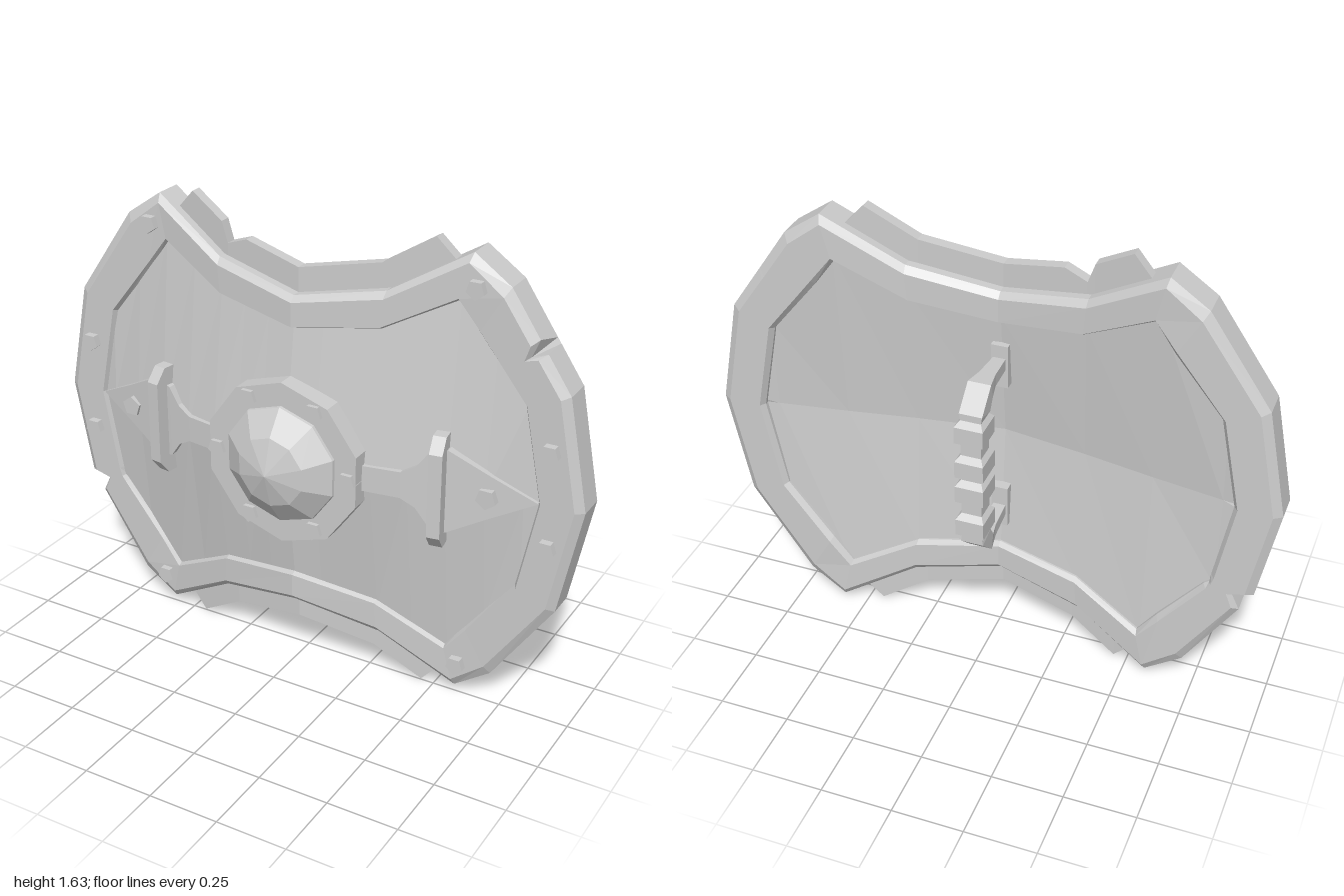
import * as THREE from 'three';

const CY = 0.82; // height of the shield's centre
const material = new THREE.MeshStandardMaterial({ color: 0xcccccc, flatShading: true });
const sheetMaterial = new THREE.MeshStandardMaterial({ color: 0xcccccc, flatShading: true, side: THREE.DoubleSide });

// Linear interpolation in a table of [|x|, value] pairs
function interp(table, x) {
  const a = Math.abs(x);
  for (let i = 1; i < table.length; i++) {
    const [x0, v0] = table[i - 1], [x1, v1] = table[i];
    if (a <= x1) return v0 + (v1 - v0) * (a - x0) / (x1 - x0);
  }
  return table[table.length - 1][1];
}
const bend = x => interp([[0, 0.1], [0.3, 0.056], [0.58, 0], [1, 0]], x);                // rim curve
const frontRidge = x => interp([[0, 0.16], [0.29, 0.134], [0.55, 0.078], [0.86, 0]], x); // panel at mid height
const backRidge = x => interp([[0, 0.05], [0.3, 0.005], [0.545, -0.04], [0.855, -0.09]], x);
const innerHalf = x => interp([[0, 0.455], [0.3, 0.51], [0.545, 0.64], [0.79, 0.33], [0.855, 0]], x);

function addMesh(parent, name, geometry, mat = material) {
  const g = geometry.index ? geometry.toNonIndexed() : geometry;
  g.computeVertexNormals();
  const mesh = new THREE.Mesh(g, mat);
  mesh.name = name;
  parent.add(mesh);
}

// Surface through rows of points, optionally closed along either direction
function loft(rows, closeRows, closeCols) {
  const n = rows.length, m = rows[0].length, index = [];
  for (let i = 0; i < (closeRows ? n : n - 1); i++) {
    for (let j = 0; j < (closeCols ? m : m - 1); j++) {
      const i1 = (i + 1) % n, j1 = (j + 1) % m;
      const a = i * m + j, b = i1 * m + j, c = i1 * m + j1, d = i * m + j1;
      index.push(a, b, c, a, c, d);
    }
  }
  const g = new THREE.BufferGeometry();
  g.setAttribute('position', new THREE.Float32BufferAttribute(rows.flat(2), 3));
  g.setIndex(index);
  return g;
}

// Bent band between an outer and an inner outline; section = [t across, z]
function band(outline, section, closed) {
  const rows = outline.map(([ox, oy, ix, iy, dent]) => section.map(([t, z], k) => {
    const [px, py] = dent && (k === 1 || k === 2) ? dent : [ox, oy];
    const x = px + (ix - px) * t, y = py + (iy - py) * t;
    return [x, y, z + bend(x)];
  }));
  return loft(rows, closed, true);
}

// Outline quarter from right middle to top middle: outer x, y, inner x, y
const quarter = [
  [1, 0.82, 0.855, 0.82], [0.925, 1.205, 0.79, 1.15], [0.71, 1.52, 0.62, 1.365],
  [0.58, 1.61, 0.545, 1.46], [0.31, 1.45, 0.3, 1.33], [0, 1.39, 0, 1.285],
];
const flipX = ([a, b, c, d]) => [-a, b, -c, d];
const flipY = ([a, b, c, d]) => [a, 2 * CY - b, c, 2 * CY - d];

function rimOutline() {
  const q2 = quarter.slice(0, -1).reverse().map(flipX);
  const q3 = quarter.slice(1).map(p => flipY(flipX(p)));
  const q4 = quarter.slice(1, -1).reverse().map(flipY);
  const q1 = quarter.slice();
  // shallow battle notch, cut in the front edge only
  q1.splice(2, 0, [0.841, 1.328, 0.718, 1.241], [0.828, 1.347, 0.706, 1.256, [0.787, 1.308]], [0.812, 1.37, 0.694, 1.271]);
  // deep notch through the whole edge
  q3.splice(0, 1, [-0.935, 0.475, -0.8, 0.52], [-0.86, 0.463, -0.79, 0.49], [-0.89, 0.4, -0.775, 0.47]);
  return [...q1, ...q2, ...q3, ...q4];
}

// Trim plate behind the rim: outer points from right to left
function trim(points, turn) {
  const outline = points.map(([x, y]) => {
    const iy = CY + innerHalf(x) + 0.05;
    return turn ? [-x, 2 * CY - y, -x, 2 * CY - iy] : [x, y, x, iy];
  });
  return band(outline, [[0, -0.07], [0, -0.03], [1, -0.03], [1, -0.07]], false);
}

// Sheet filling the rim, sloping from a horizontal ridge down to the edges
function panel(edgeZ, ridge, half) {
  const xs = [...half.slice(1).reverse().map(v => -v), ...half];
  return loft(xs.map(x => [-1, 0, 1].map(t => {
    const edge = bend(x) + edgeZ;
    return [x * 1.01, CY + t * (innerHalf(x) + 0.015), t ? edge : Math.max(edge, ridge(x))];
  })), false, false);
}

function addStud(parent, x, y, z, radius = 0.033) {
  const g = new THREE.CylinderGeometry(radius, radius, 0.06, 5);
  g.rotateX(Math.PI / 2);
  g.translate(x, y, z - 0.03);
  addMesh(parent, 'stud', g);
}

// Strap with diamond end, crossbar and stud, centred on y = 0
function sideFitting(name) {
  const group = new THREE.Group();
  group.name = name;
  const plate = [[0.2, 0.045], [0.41, 0.047], [0.46, 0.075], [0.5, 0.13], [0.56, 0.15], [0.7, 0.075], [0.845, 0.002]];
  addMesh(group, 'strapPlate', loft(plate.map(([x, h]) => {
    const z = frontRidge(x) + 0.014;
    return [[x, -h, z - 0.05], [x, -h, z], [x, h, z], [x, h, z - 0.05]].reverse();
  }), false, true), sheetMaterial);
  const profile = [[0.03, -0.2], [0.1, -0.2], [0.14, -0.15], [0.14, 0.15], [0.1, 0.2], [0.03, 0.2]];
  const bar = new THREE.ExtrudeGeometry(new THREE.Shape(profile.map(p => new THREE.Vector2(...p))),
    { depth: 0.045, bevelEnabled: false });
  bar.rotateY(-Math.PI / 2);
  bar.translate(0.0225, 0, 0);
  bar.rotateY(0.15);
  bar.translate(0.522, 0, 0.005);
  addMesh(group, 'crossbar', bar);
  addStud(group, 0.69, 0, 0.075, 0.037);
  group.position.y = CY;
  return group;
}

// Grip: sections [outer y, outer z, inner y, inner z, half width] running down
function handleGeometry() {
  const arm = [
    [1.14, 0.03, 1.1, 0.03, 0.02], [1.15, -0.12, 1.105, -0.12, 0.028],
    [1.155, -0.19, 1.1, -0.175, 0.04], [1.08, -0.272, 1.06, -0.2, 0.04],
  ];
  const beads = [];
  for (const y of [1.007, 0.87, 0.77, 0.633]) {
    for (const [dy, s] of [[0.048, 0], [0.031, 1], [-0.031, 1], [-0.048, 0]]) {
      beads.push([y + dy, -0.272 - 0.023 * s, y + dy, -0.2 + 0.015 * s, 0.036 + 0.014 * s]);
    }
  }
  const lower = arm.map(([a, b, c, d, w]) => [2 * CY - a, b, 2 * CY - c, d, w]).reverse();
  return loft([...arm, ...beads, ...lower].map(([yo, zo, yi, zi, w]) =>
    [[w, yo, zo], [-w, yo, zo], [-w, yi, zi], [w, yi, zi]]), false, true);
}

export function createModel() {
  const shield = new THREE.Group();
  shield.name = 'shield';

  // Rim with bevelled edges
  addMesh(shield, 'rim', band(rimOutline(),
    [[0, -0.1], [0, 0], [0.2, 0.02], [1, 0.02], [1.1, -0.005], [1.1, -0.1], [1, -0.12], [0.2, -0.12]], true));

  // Trim plates, the upper one chipped
  const half = [[0.53, 1.55], [0.45, 1.635], [0.28, 1.53], [0, 1.475]];
  const chipped = [[-0.215, 1.52], [-0.295, 1.49], [-0.32, 1.56], [-0.45, 1.635], [-0.53, 1.55]];
  const whole = half.slice(0, -1).reverse().map(([x, y]) => [-x, y]);
  addMesh(shield, 'upperTrim', trim([...half, ...chipped], false));
  addMesh(shield, 'lowerTrim', trim([...half, ...whole], true));

  // Front and back sheets, the back one coarser and nearly flush with the rim
  addMesh(shield, 'frontPanel', panel(0, frontRidge, [0, 0.1, 0.2, 0.3, 0.42, 0.545, 0.67, 0.79, 0.855]), sheetMaterial);
  addMesh(shield, 'backPanel', panel(-0.095, backRidge, [0, 0.3, 0.545, 0.79, 0.855]), sheetMaterial);

  // Central boss
  const lathe = pts => new THREE.LatheGeometry(pts.map(p => new THREE.Vector2(...p)), 10)
    .rotateX(Math.PI / 2).translate(0, CY, 0);
  addMesh(shield, 'bossFlange', lathe([[0.295, 0.115], [0.295, 0.185], [0, 0.185]]));
  addMesh(shield, 'bossDome', lathe([[0.215, 0.17], [0.21, 0.195], [0.125, 0.258], [0, 0.295]]));
  for (let i = 0; i < 6; i++) {
    const a = i * Math.PI / 3;
    addStud(shield, 0.25 * Math.cos(a), CY + 0.25 * Math.sin(a), 0.2);
  }

  // Side fittings
  const right = sideFitting('rightFitting');
  right.rotation.z = Math.PI;
  shield.add(sideFitting('leftFitting'), right);

  // Rim studs
  for (const s of [-1, 1]) {
    for (const [x, y] of [[0.607, 1.505], [0.882, 1.015], [0.89, 0.675], [0.595, 0.135]]) addStud(shield, s * x, y, 0.047);
  }

  // Handle with mounting feet
  addMesh(shield, 'handle', handleGeometry());
  for (const s of [-1, 1]) {
    addMesh(shield, 'handleFoot', new THREE.BoxGeometry(0.06, 0.16, 0.07).translate(0, CY + s * 0.29, 0.025));
  }
  return shield;
}
